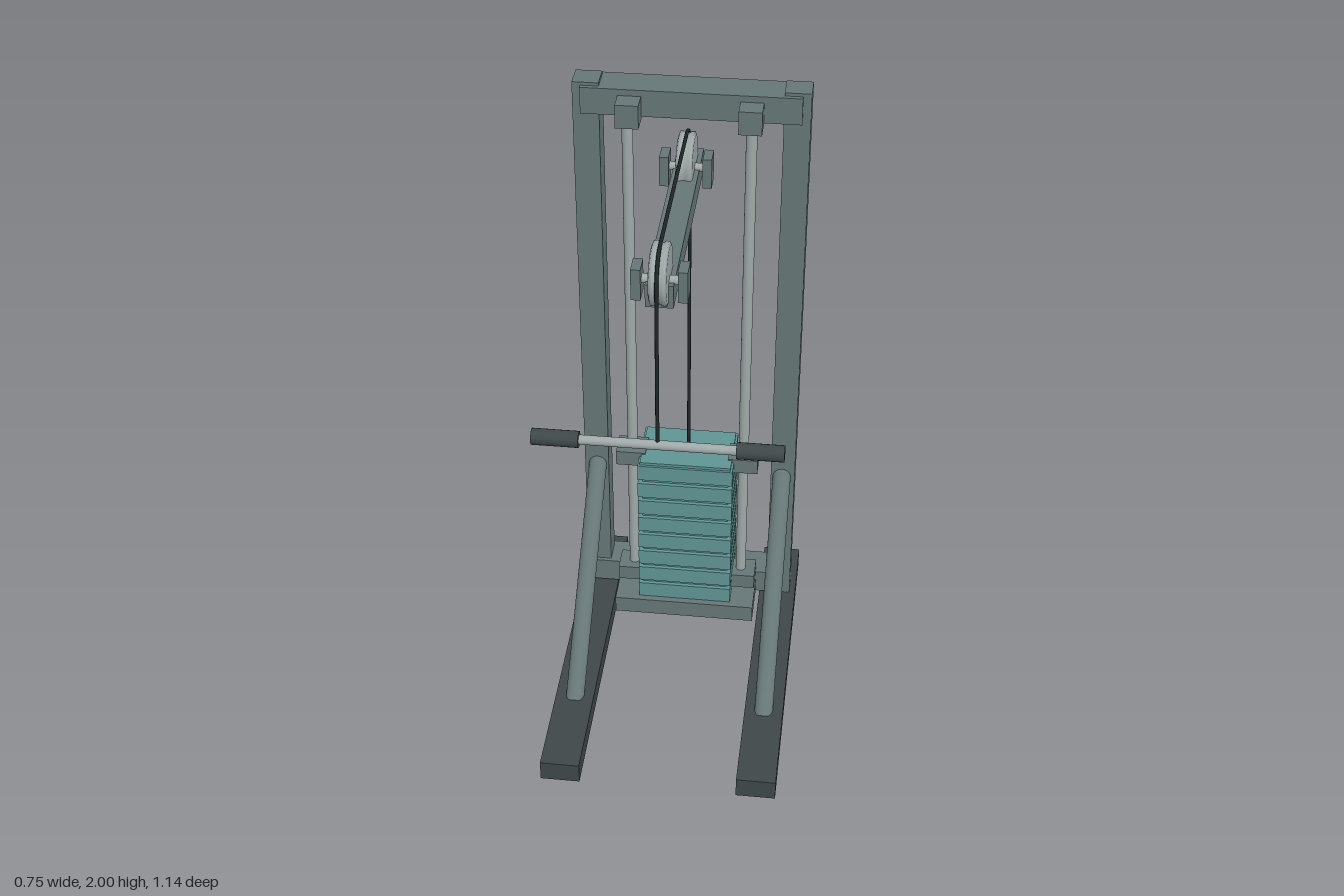
import * as THREE from 'three';

const mat = (color) => new THREE.MeshStandardMaterial({ color });

export function createModel() {
  const model = new THREE.Group();
  const frame = mat(0x667676), dark = mat(0x3f4749), teal = mat(0x5f9494);
  const steel = mat(0x9fa9a8), black = mat(0x1f2527);

  const add = (name, geometry, material, x = 0, y = 0, z = 0) => {
    const mesh = new THREE.Mesh(geometry, material);
    mesh.name = name;
    mesh.position.set(x, y, z);
    model.add(mesh);
    return mesh;
  };
  // Box given by its extents on each axis
  const box = (name, material, [x0, x1], [y0, y1], [z0, z1]) =>
    add(name, new THREE.BoxGeometry(x1 - x0, y1 - y0, z1 - z0), material,
      (x0 + x1) / 2, (y0 + y1) / 2, (z0 + z1) / 2);
  // Cylinder between two points
  const rod = (name, material, a, b, r, sides = 20) => {
    const p = new THREE.Vector3(...a), q = new THREE.Vector3(...b);
    const dir = q.clone().sub(p);
    const mesh = add(name, new THREE.CylinderGeometry(r, r, dir.length(), sides), material);
    mesh.position.copy(p).add(q).multiplyScalar(0.5);
    mesh.quaternion.setFromUnitVectors(new THREE.Vector3(0, 1, 0), dir.normalize());
    return mesh;
  };

  // Cross members and stack base
  box('topBeam', frame, [-0.33, 0.33], [1.905, 1.99], [-0.43, -0.32]);
  box('lowerBeam', frame, [-0.33, 0.33], [0.08, 0.165], [-0.43, -0.32]);
  box('stackBase', frame, [-0.237, 0.237], [0.07, 0.13], [-0.45, -0.17]);

  // Paired frame parts
  for (const [side, s] of [['left', 1], ['right', -1]]) {
    const pair = (a, b) => [Math.min(s * a, s * b), Math.max(s * a, s * b)];
    box(side + 'Foot', dark, pair(0.25, 0.375), [0, 0.07], [-0.57, 0.57]);
    box(side + 'Post', frame, pair(0.275, 0.355), [0.07, 2], [-0.415, -0.334]);
    const brace = rod(side + 'Brace', frame, [s * 0.312, 0.055, 0.268], [s * 0.312, 0.605, -0.36], 0.03);
    brace.scale.z = 0.8;
    rod(side + 'GuideRod', steel, [s * 0.185, 0.12, -0.29], [s * 0.185, 1.95, -0.29], 0.017);
    box(side + 'RodTopClamp', frame, pair(0.147, 0.217), [1.895, 1.97], [-0.33, -0.257]);
    for (const y of [0.155, 0.655])
      box(side + 'RodCollar', frame, pair(0.137, 0.235), [y, y + 0.053], [-0.335, -0.245]);
    rod(side + 'Grip', dark, [s * 0.222, 1.312, 0.495], [s * 0.357, 1.312, 0.495], 0.024);
  }

  // Weight stack: plates separated by a slightly narrower core
  box('stackCore', teal, [-0.143, 0.143], [0.13, 0.69], [-0.395, -0.205]);
  for (let i = 0; i < 8; i++) {
    const y = 0.13 + i * 0.0725;
    box('weightPlate', teal, [-0.157, 0.157], [y, y + 0.057], [-0.408, -0.192]);
  }
  box('stackTop', teal, [-0.15, 0.15], [0.69, 0.704], [-0.4, -0.2]);

  // Pulley arm
  box('pulleyArm', frame, [-0.039, 0.039], [1.73, 1.8], [-0.34, 0.435]);

  // Grooved pulleys with axles and side brackets
  const pulleyY = 1.82, cableR = 0.09, frontZ = 0.405, rearZ = -0.22;
  const profile = [[0, -0.025], [0.078, -0.025], [0.088, -0.021], [0.088, -0.012], [0.083, -0.005],
    [0.083, 0.005], [0.088, 0.012], [0.088, 0.021], [0.078, 0.025], [0, 0.025]];
  const points = [];
  profile.forEach(([r, h]) => points.push(new THREE.Vector2(r, h)));
  for (const [end, z] of [['front', frontZ], ['rear', rearZ]]) {
    const pulley = add(end + 'Pulley', new THREE.LatheGeometry(points, 40), steel, 0, pulleyY, z);
    pulley.rotation.z = Math.PI / 2;
    rod(end + 'Axle', steel, [-0.06, 1.802, z], [0.06, 1.802, z], 0.013);
    for (const s of [-1, 1])
      add(end + 'PulleyBracket', new THREE.BoxGeometry(0.027, 0.095, 0.062), frame, s * 0.064, 1.797, z);
  }

  // Cable: up from the stack, over both pulleys, down to the handle
  const path = new THREE.CurvePath();
  const arc = (z, from, to) => {
    const pts = [];
    for (let i = 0; i <= 12; i++) {
      const a = from + (to - from) * i / 12;
      pts.push(new THREE.Vector3(0, pulleyY + cableR * Math.sin(a), z + cableR * Math.cos(a)));
    }
    return pts;
  };
  const route = [new THREE.Vector3(0, 0.69, rearZ - cableR), ...arc(rearZ, Math.PI, Math.PI / 2),
    ...arc(frontZ, Math.PI / 2, 0), new THREE.Vector3(0, 1.312, frontZ + cableR)];
  for (let i = 1; i < route.length; i++) path.add(new THREE.LineCurve3(route[i - 1], route[i]));
  add('cable', new THREE.TubeGeometry(path, 300, 0.0055, 8), black);

  // Pull bar
  rod('pullBar', steel, [-0.3, 1.312, 0.495], [0.3, 1.312, 0.495], 0.014);

  return model;
}
